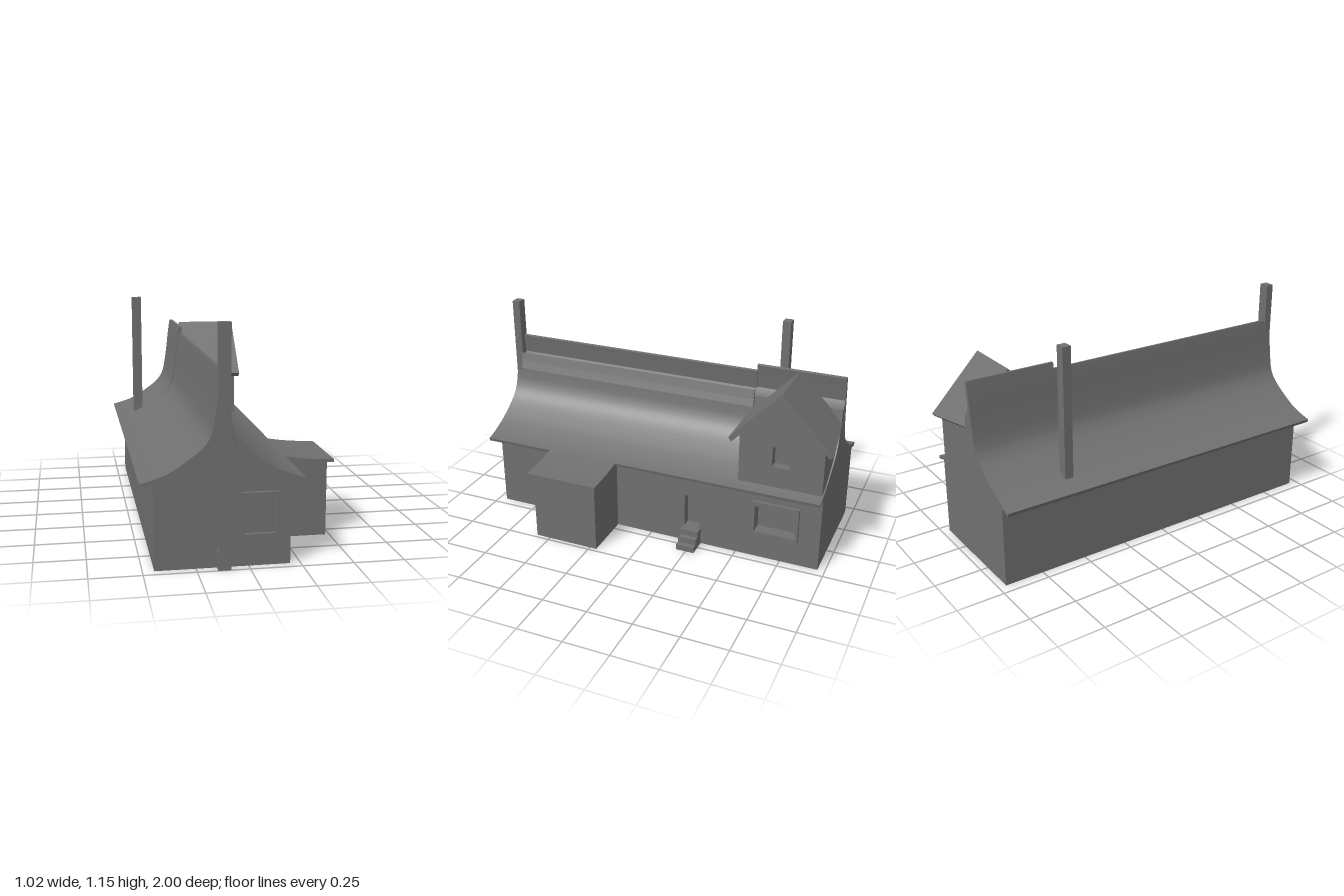
import * as THREE from 'three';
import { toCreasedNormals } from 'three/addons/utils/BufferGeometryUtils.js';

const material = new THREE.MeshStandardMaterial({ color: 0x707070 });
const V = (x, y) => new THREE.Vector2(x, y);

// Roof profiles in x, y, from ridge to eave
const curve = (pts, n) => new THREE.SplineCurve(pts.map(p => V(...p))).getPoints(n);
const leftSlope = curve([[-0.14, 0.94], [-0.147, 0.89], [-0.157, 0.8], [-0.168, 0.72], [-0.182, 0.65],
  [-0.205, 0.605], [-0.25, 0.56], [-0.36, 0.485], [-0.43, 0.453], [-0.512, 0.43]], 36);
const rightSlope = curve([[-0.105, 0.8], [-0.092, 0.72], [-0.078, 0.66], [-0.05, 0.605], [0, 0.555],
  [0.1, 0.49], [0.2, 0.445], [0.26, 0.428]], 32);
const porchSlope = curve([[0.19, 0.448], [0.26, 0.428], [0.39, 0.411], [0.512, 0.405]], 12);

// Shift a profile sideways; positive d goes to the left of its direction
function offset(pts, d) {
  return pts.map((p, i) => {
    const a = pts[Math.max(i - 1, 0)], b = pts[Math.min(i + 1, pts.length - 1)];
    const t = b.clone().sub(a).normalize();
    return V(p.x - t.y * d, p.y + t.x * d);
  });
}

function makeShape(pts, holes = []) {
  const s = new THREE.Shape(pts);
  for (const [a0, a1, b0, b1] of holes) {
    s.holes.push(new THREE.Path([V(a0, b0), V(a0, b1), V(a1, b1), V(a1, b0)]));
  }
  return s;
}
const rect = (a0, a1, b0, b1) => [V(a0, b0), V(a1, b0), V(a1, b1), V(a0, b1)];

export function createModel() {
  const group = new THREE.Group();
  const add = (name, geometry) => {
    const mesh = new THREE.Mesh(geometry, material);
    mesh.name = name;
    group.add(mesh);
    return mesh;
  };
  const box = (name, x0, x1, y0, y1, z0, z1) => add(name,
    new THREE.BoxGeometry(x1 - x0, y1 - y0, z1 - z0).translate((x0 + x1) / 2, (y0 + y1) / 2, (z0 + z1) / 2));
  // Extrude an x-y outline along z
  const alongZ = (name, pts, z0, z1, holes) => add(name, toCreasedNormals(
    new THREE.ExtrudeGeometry(makeShape(pts, holes), { depth: z1 - z0, bevelEnabled: false }).translate(0, 0, z0), 0.5));
  // Extrude a z-y outline along x
  const alongX = (name, pts, x0, x1, holes) => add(name, toCreasedNormals(
    new THREE.ExtrudeGeometry(makeShape(pts, holes), { depth: x1 - x0, bevelEnabled: false })
      .rotateY(-Math.PI / 2).translate(x1, 0, 0), 0.5));
  const sheet = (name, pts, d, z0, z1) => alongZ(name, [...pts, ...offset(pts, d).reverse()], z0, z1);

  // House body: gable outline tucked under the roof
  const gable = xMax => [
    V(-0.445, 0), V(-0.445, 0.435),
    ...offset(leftSlope, 0.012).filter(p => p.x > -0.44 && p.y < 0.85).reverse(),
    ...offset(rightSlope, -0.012).filter(p => p.x < xMax - 0.005),
    V(xMax, xMax > 0.18 ? 0.432 : 0.45), V(xMax, 0),
  ];
  alongZ('houseCore', gable(0.15), -0.96, 0.9);
  alongZ('frontWall', gable(0.2), 0.9, 0.955, [[-0.02, 0.125, 0.16, 0.335]]);
  alongX('rightWall', rect(-0.96, 0.9, 0, 0.435), 0.15, 0.2,
    [[-0.83, -0.605, 0.165, 0.32], [-0.29, -0.2, 0.095, 0.285]]);
  alongZ('sideAnnex', [V(0.2, 0), V(0.2, 0.435),
    ...offset(porchSlope, -0.008).filter(p => p.x > 0.21 && p.x < 0.47), V(0.48, 0.399), V(0.48, 0)], 0.21, 0.58);

  // Window frames
  alongZ('frontWindowFrame', rect(-0.035, 0.14, 0.135, 0.36), 0.955, 0.975, [[-0.02, 0.125, 0.16, 0.335]]);
  alongX('sideWindowFrame', rect(-0.845, -0.59, 0.14, 0.345), 0.2, 0.22, [[-0.83, -0.605, 0.165, 0.32]]);

  // Sweeping roof, the rear stretch rising slightly proud at the ridge
  const raised = offset(leftSlope, -0.006);
  const rearSlope = leftSlope.map((p, i) =>
    p.clone().lerp(raised[i], THREE.MathUtils.clamp((p.y - 0.56) / 0.08, 0, 1)));
  sheet('leftRoof', leftSlope, 0.018, -0.48, 0.998);
  sheet('rearLeftRoof', [V(-0.141, 0.975), ...rearSlope], 0.02, -0.962, -0.48);
  sheet('rightRoof', rightSlope, -0.018, -0.96, 0.998);
  sheet('annexRoof', porchSlope, -0.016, 0.19, 0.6);

  // Two lapped planks below the ridge
  alongZ('upperRidgePlank', [V(-0.104, 0.835), V(-0.092, 0.84), V(-0.079, 0.792), V(-0.092, 0.788)], -0.48, 0.955);
  alongZ('lowerRidgePlank', [V(-0.1, 0.79), V(-0.088, 0.793), V(-0.073, 0.748), V(-0.088, 0.745)], -0.48, 0.955);

  // Dormer with gable facing the side
  const dormer = [V(-0.5, 0.42), V(-0.5, 0.72), V(-0.72, 0.95), V(-0.953, 0.71), V(-0.953, 0.42)];
  alongX('dormerCore', dormer, -0.1, 0.15);
  alongX('dormerFront', dormer, 0.15, 0.2, [[-0.77, -0.68, 0.56, 0.675]]);
  const dormerRoof = alongX('dormerRoof', [V(-0.445, 0.694), V(-0.72, 0.981), V(-0.998, 0.69),
    V(-0.98, 0.673), V(-0.72, 0.942), V(-0.462, 0.673)], -0.11, 0.221);
  // Trim the rear slope at its inner end
  const pos = dormerRoof.geometry.attributes.position;
  for (let i = 0; i < pos.count; i++) {
    if (pos.getX(i) < 0 && pos.getZ(i) < -0.9) {
      pos.setZ(i, pos.getZ(i) + 0.035);
      pos.setY(i, pos.getY(i) + 0.036);
    }
  }

  // Door steps
  for (let i = 0; i < 3; i++) {
    box('doorStep', 0.2, 0.31 - i * 0.03, i * 0.032, (i + 1) * 0.032, -0.297, -0.195);
  }

  // Tall front post and rear chimney
  box('frontPost', -0.149, -0.093, 0, 1.15, 0.955, 0.999);
  box('postBase', -0.152, -0.09, 0, 0.09, 0.955, 1);
  box('chimney', -0.412, -0.36, 0.44, 1.15, -0.587, -0.54);
  return group;
}
